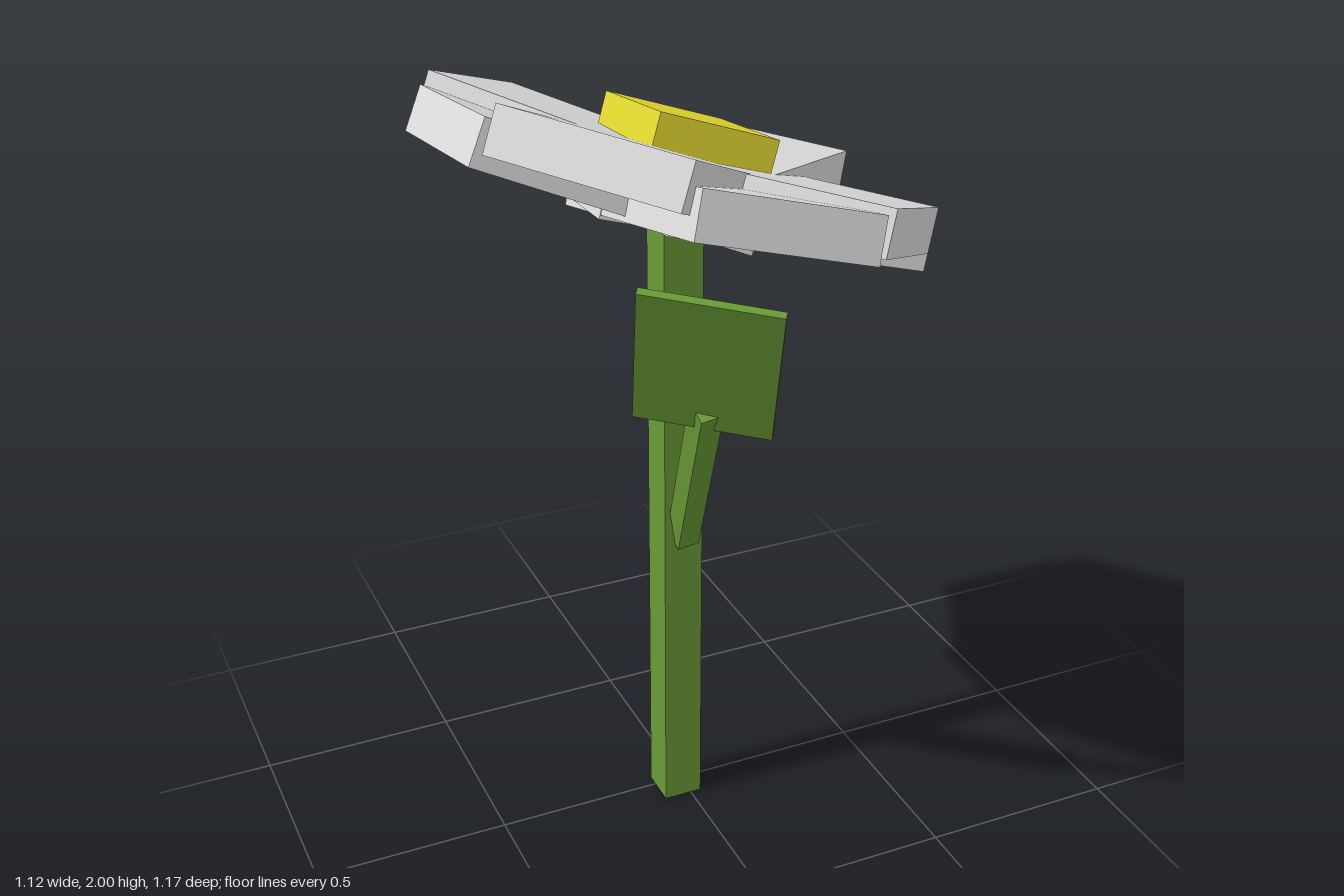
import * as THREE from 'three';

export function createModel() {
  const root = new THREE.Group();
  const mat = (name, color) => {
    const m = new THREE.MeshStandardMaterial({ color });
    m.name = name;
    return m;
  };
  const petalGrey = mat('petalGrey', 0xdedede);
  const centreYellow = mat('centreYellow', 0xe4da30);
  const stemGreen = mat('stemGreen', 0x6a9a36);

  // Box whose upper face is centred on c and spanned by u and v;
  // the thickness goes inward, against v x u.
  function slab(name, c, u, v, thickness, material, parent) {
    const x = new THREE.Vector3(...u), z = new THREE.Vector3(...v);
    const w = x.length(), d = z.length();
    const y = new THREE.Vector3().crossVectors(z, x).normalize();
    x.normalize();
    z.crossVectors(x, y);
    const mesh = new THREE.Mesh(new THREE.BoxGeometry(w, thickness, d), material);
    mesh.name = name;
    mesh.quaternion.setFromRotationMatrix(new THREE.Matrix4().makeBasis(x, y, z));
    mesh.position.set(...c).addScaledVector(y, -thickness / 2);
    parent.add(mesh);
  }

  // Upright square stem
  const stem = new THREE.Mesh(new THREE.BoxGeometry(0.1, 1.6, 0.1), stemGreen);
  stem.name = 'stem';
  stem.position.set(-0.022, 0.8, 0.02);
  root.add(stem);

  // Leaf on its slanted stalk
  const leaf = new THREE.Group();
  leaf.name = 'leaf';
  root.add(leaf);
  slab('leafStalk', [-0.057, 1.055, 0.175], [0.055, 0.008, 0], [-0.075, 0.5, 0.29], 0.065, stemGreen, leaf);
  slab('leafBlade', [-0.125, 1.42, 0.418], [-0.055, 0.37, 0.16], [0.265, -0.03, 0.175], 0.02, stemGreen, leaf);

  // Tilted flower head: a shallow cup of eight petals, the diagonal four on top.
  // Each petal is given by the two corners of its upper outer edge.
  const head = new THREE.Group();
  head.name = 'flowerHead';
  root.add(head);
  const upperHub = new THREE.Vector3(0.02, 1.75, -0.015);
  const lowerHub = new THREE.Vector3(0.01, 1.7, -0.02);
  const petals = [
    ['petalFront', lowerHub, [-0.2, 1.887, 0.54], [0.22, 1.77, 0.555]],
    ['petalLeft', lowerHub, [0.545, 1.58, 0.23], [0.545, 1.52, -0.225]],
    ['petalBack', lowerHub, [0.22, 1.6, -0.57], [-0.2, 1.73, -0.585]],
    ['petalRight', lowerHub, [-0.52, 1.91, -0.27], [-0.52, 1.97, 0.19]],
    ['petalFrontLeft', upperHub, [0.25, 1.777, 0.55], [0.55, 1.625, 0.23]],
    ['petalBackLeft', upperHub, [0.55, 1.62, -0.23], [0.25, 1.66, -0.56]],
    ['petalBackRight', upperHub, [-0.2, 1.79, -0.58], [-0.5, 1.94, -0.28]],
    ['petalFrontRight', upperHub, [-0.5, 2.0, 0.2], [-0.2, 1.94, 0.53]],
  ];
  for (const [name, hub, a, b] of petals) {
    const start = new THREE.Vector3(...a), end = new THREE.Vector3(...b);
    const rim = start.clone().add(end).multiplyScalar(0.5);
    const reach = rim.clone().sub(hub).multiplyScalar(1.2);
    const middle = rim.clone().addScaledVector(reach, -0.5);
    slab(name, middle, end.sub(start), reach, 0.11, petalGrey, head);
  }

  // Square flower centre
  slab('flowerCentre', [0.045, 1.834, -0.035], [0.29, -0.103, 0.005], [0, 0.039, 0.3], 0.12, centreYellow, head);

  return root;
}
